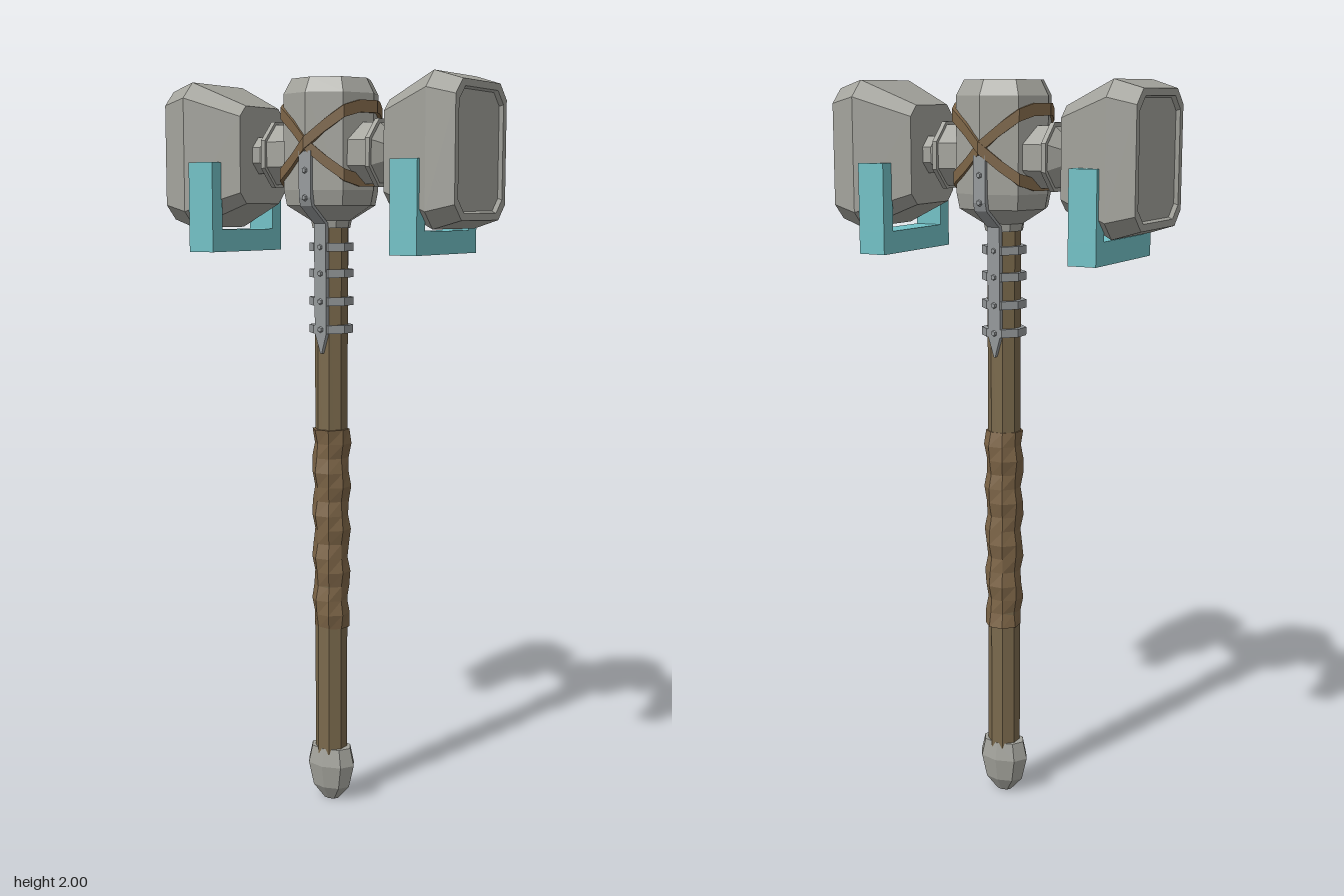
import * as THREE from 'three';

const mat = (name, color) => {
  const m = new THREE.MeshStandardMaterial({ color, flatShading: true });
  m.name = name;
  return m;
};

// Skin a list of equal-length rings; ring points run counter-clockwise seen from ahead.
function loft(rings, closed = false) {
  const n = rings[0].length, pos = rings.flat(2), idx = [];
  const spans = closed ? rings.length : rings.length - 1;
  for (let i = 0; i < spans; i++) {
    const p = i * n, q = ((i + 1) % rings.length) * n;
    for (let j = 0; j < n; j++) {
      const k = (j + 1) % n;
      idx.push(p + j, p + k, q + j, p + k, q + k, q + j);
    }
  }
  if (!closed) {
    const e = (rings.length - 1) * n;
    for (let j = 1; j < n - 1; j++) idx.push(0, j + 1, j, e, e + j, e + j + 1);
  }
  const g = new THREE.BufferGeometry();
  g.setAttribute('position', new THREE.Float32BufferAttribute(pos, 3));
  g.setIndex(idx);
  g.computeVertexNormals();
  return g;
}

// Eight-sided turned part from [radius, y] pairs, bottom to top.
const turned = (pts, phase = 0) =>
  new THREE.LatheGeometry(pts.map(([r, y]) => new THREE.Vector2(r, y)), 8, phase);

export function createModel() {
  const root = new THREE.Group();
  root.name = 'warHammer';
  const stone = mat('stone grey', 0xa3a39c);
  const metal = mat('steel grey', 0x969a9c);
  const wood = mat('wood brown', 0x7a694c);
  const leather = mat('leather brown', 0x7d6547);
  const teal = mat('teal', 0x72c1c6);
  const add = (name, geo, m, parent = root) => {
    const mesh = new THREE.Mesh(geo, m);
    mesh.name = name;
    parent.add(mesh);
    return mesh;
  };
  const headY = 1.805, eighth = Math.PI / 8;

  // Pommel, flattened front to back
  add('pommel', turned([[0, 0], [0.022, 0], [0.058, 0.04], [0.074, 0.105], [0.062, 0.155], [0, 0.155]]), stone)
    .scale.z = 0.7;

  // Wooden shaft
  add('shaft', turned([[0.045, 0.14], [0.045, 1.64]], eighth), wood);

  // Lumpy twisted grip
  const grip = new THREE.CylinderGeometry(0.05, 0.05, 0.56, 8, 14, false, eighth);
  const p = grip.attributes.position;
  for (let i = 0; i < p.count; i++) {
    const x = p.getX(i), y = p.getY(i), z = p.getZ(i);
    const s = 1 + 0.1 * Math.sin(y * 50 + Math.atan2(x, z)) + 0.08 * y;
    p.setXYZ(i, x * s, y, z * s);
  }
  add('grip', grip, leather).position.y = 0.785;

  // Metal bands round the shaft
  for (const y of [1.34, 1.415, 1.49, 1.56])
    add('shaftBand', new THREE.CylinderGeometry(0.06, 0.06, 0.022, 8, 1, false, eighth), metal).position.y = y;

  // Central head barrel
  add('headCore', turned([[0, 1.61], [0.052, 1.61], [0.056, 1.63], [0.122, 1.67], [0.13, 1.71],
    [0.13, 1.96], [0.108, 2], [0, 2]]), stone);

  // Pointed studded plates down the front and back
  const plateRings = [[1.81, 0.134, 0.018], [1.69, 0.134, 0.018], [1.668, 0.127, 0.018], [1.622, 0.06, 0.018],
    [1.33, 0.056, 0.018], [1.275, 0.054, 0.002]].map(([y, z, w]) =>
    [[-w, y, z - 0.016], [w, y, z - 0.016], [w, y, z], [-w, y, z]]);
  for (const turn of [0, Math.PI]) {
    const side = new THREE.Group();
    side.name = 'studdedPlate';
    side.rotation.y = turn;
    root.add(side);
    add('plate', loft(plateRings), metal, side);
    for (const [y, z] of [[1.76, 0.135], [1.69, 0.135], [1.56, 0.059], [1.49, 0.059], [1.415, 0.059], [1.34, 0.058]]) {
      const stud = add('stud', new THREE.CylinderGeometry(0.006, 0.01, 0.008, 6), metal, side);
      stud.rotation.x = Math.PI / 2;
      stud.position.set(0, y, z);
    }
  }

  // Two crossed leather straps wrapped around the barrel
  for (const dir of [1, -1]) {
    const rings = [];
    for (let i = 0; i < 16; i++) {
      const a = i * eighth, k = i % 2 ? Math.cos(eighth) : 1;
      const out = (dir > 0 ? 0.141 : 0.138) * k, inn = 0.12 * k;
      const y = 1.83 + dir * 0.095 * Math.max(-1, Math.min(1, 1.2 * Math.cos(a)));
      const at = (r, h) => [r * Math.cos(a), y + h, r * Math.sin(a)];
      rings.push([at(out, -0.016), at(out, 0.016), at(inn, 0.016), at(inn, -0.016)]);
    }
    add('crossStrap', loft(rings, true), leather);
  }

  // Chamfered section of a hammer block
  const section = (x, hy, hz) => {
    const c = 0.27 * hz;
    return [[-hz, -hy + c], [-hz, hy - c], [-hz + c, hy], [hz - c, hy],
      [hz, hy - c], [hz, -hy + c], [hz - c, -hy], [-hz + c, -hy]].map(([z, y]) => [x, y, z]);
  };
  const block = loft([section(0.222, 0.13, 0.108), section(0.37, 0.195, 0.162), section(0.444, 0.173, 0.145),
    section(0.444, 0.155, 0.126), section(0.434, 0.15, 0.121)]);

  for (const turn of [0, Math.PI]) {
    const arm = new THREE.Group();
    arm.name = turn ? 'rightHammer' : 'leftHammer';
    arm.position.y = headY;
    arm.rotation.y = turn;
    root.add(arm);

    // Neck with collar, turned about the x axis
    const neck = add('neck', turned([[0.086, 0.04], [0.086, 0.155], [0.095, 0.155], [0.095, 0.168],
      [0.084, 0.168], [0.053, 0.197], [0.053, 0.24]], eighth), stone, arm);
    neck.rotation.z = -Math.PI / 2;
    add('hammerBlock', block, stone, arm);

    // U-shaped cradle under the block
    add('cradleBase', new THREE.BoxGeometry(0.078, 0.06, 0.334), teal, arm).position.set(0.312, -0.23, 0);
    for (const s of [1, -1])
      add('cradlePost', new THREE.BoxGeometry(0.078, 0.18, 0.045), teal, arm).position.set(0.312, -0.11, s * 0.1445);
  }
  return root;
}
